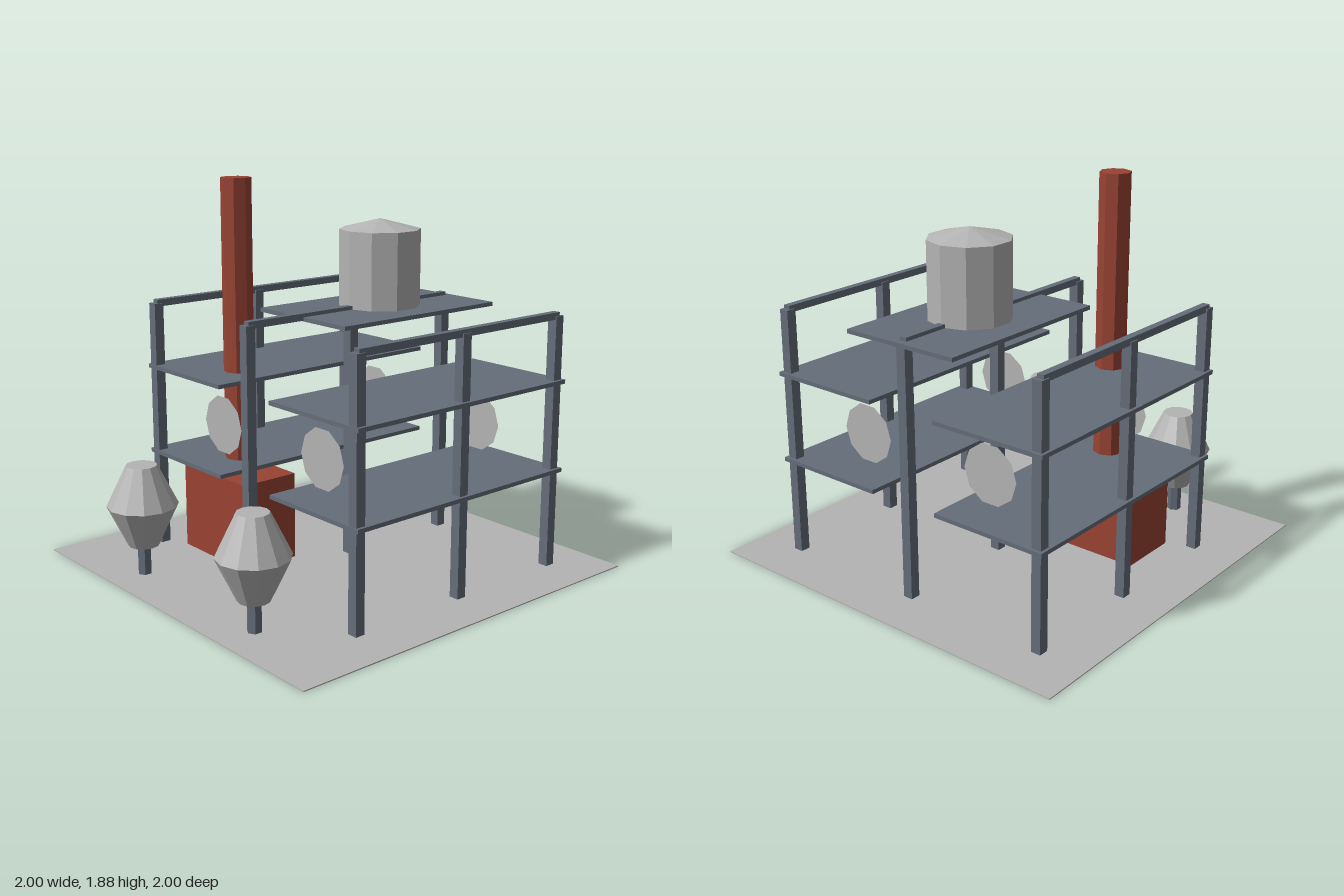
import * as THREE from 'three';

const material = (name, color, extra = {}) => {
  const m = new THREE.MeshStandardMaterial({ color, flatShading: true, ...extra });
  m.name = name;
  return m;
};

export function createModel() {
  const model = new THREE.Group();
  model.name = 'plant';
  const steel = material('blue grey steel', 0x656d79);
  const brick = material('brick red', 0x994333);
  const pale = material('pale grey', 0xb4b4b4, { side: THREE.DoubleSide });

  const add = (name, geometry, mat, x, y, z) => {
    const mesh = new THREE.Mesh(geometry, mat);
    mesh.name = name;
    mesh.position.set(x, y, z);
    model.add(mesh);
    return mesh;
  };
  // box given by its minimum and maximum corners
  const box = (name, mat, [x0, y0, z0], [x1, y1, z1]) =>
    add(name, new THREE.BoxGeometry(x1 - x0, y1 - y0, z1 - z0), mat,
      (x0 + x1) / 2, (y0 + y1) / 2, (z0 + z1) / 2);
  // upright prism or frustum between two heights
  const column = (name, mat, rTop, rBottom, sides, x, y0, y1, z) =>
    add(name, new THREE.CylinderGeometry(rTop, rBottom, y1 - y0, sides), mat, x, (y0 + y1) / 2, z);

  // ground slab
  box('ground', pale, [-1, 0, -1], [1, 0.005, 1]);

  // three post rows, each joined by a top rail
  for (const x of [-0.75, 0, 0.75]) {
    for (const z of [-0.75, -0.125, 0.5]) {
      box('post', steel, [x - 0.025, 0.002, z - 0.025], [x + 0.025, 1.25, z + 0.025]);
    }
    box('topRail', steel, [x - 0.018, 1.234, -0.755], [x + 0.018, 1.268, 0.505]);
  }

  for (const s of [-1, 1]) {
    // two decks on each side
    for (const y of [0.48, 0.92]) {
      box('deck', steel, [s * 0.49 - 0.3, y, -0.79], [s * 0.49 + 0.3, y + 0.02, 0.53]);
    }
    // flat discs standing over the lower deck
    for (const z of [-0.625, 0.375]) {
      add('disc', new THREE.CircleGeometry(0.148, 10), pale, s * 0.375, 0.68, z);
    }
    // double-cone vessel on a short leg
    const x = s * 0.4375, z = 0.8125;
    column('vesselLeg', steel, 0.035, 0.035, 6, x, 0.002, 0.155, z);
    const profile = [[0, 0.15], [0.075, 0.15], [0.172, 0.352], [0.075, 0.55], [0, 0.55]]
      .map(([r, y]) => new THREE.Vector2(r, y));
    add('vessel', new THREE.LatheGeometry(profile, 12), pale, x, 0, z);
  }

  // upper platform with the roofed tank
  box('upperPlatform', steel, [-0.3125, 1.23, -0.79], [0.3125, 1.25, 0.185]);
  column('tank', pale, 0.2, 0.2, 10, 0, 1.25, 1.625, -0.3125);
  add('tankRoof', new THREE.ConeGeometry(0.2, 0.05, 10), pale, 0, 1.65, -0.3125);

  // furnace and chimney
  box('furnace', brick, [-0.625, 0.002, 0.127], [-0.13, 0.44, 0.438]);
  column('chimney', brick, 0.075, 0.075, 8, -0.375, 0.44, 1.88, 0.275);

  return model;
}
